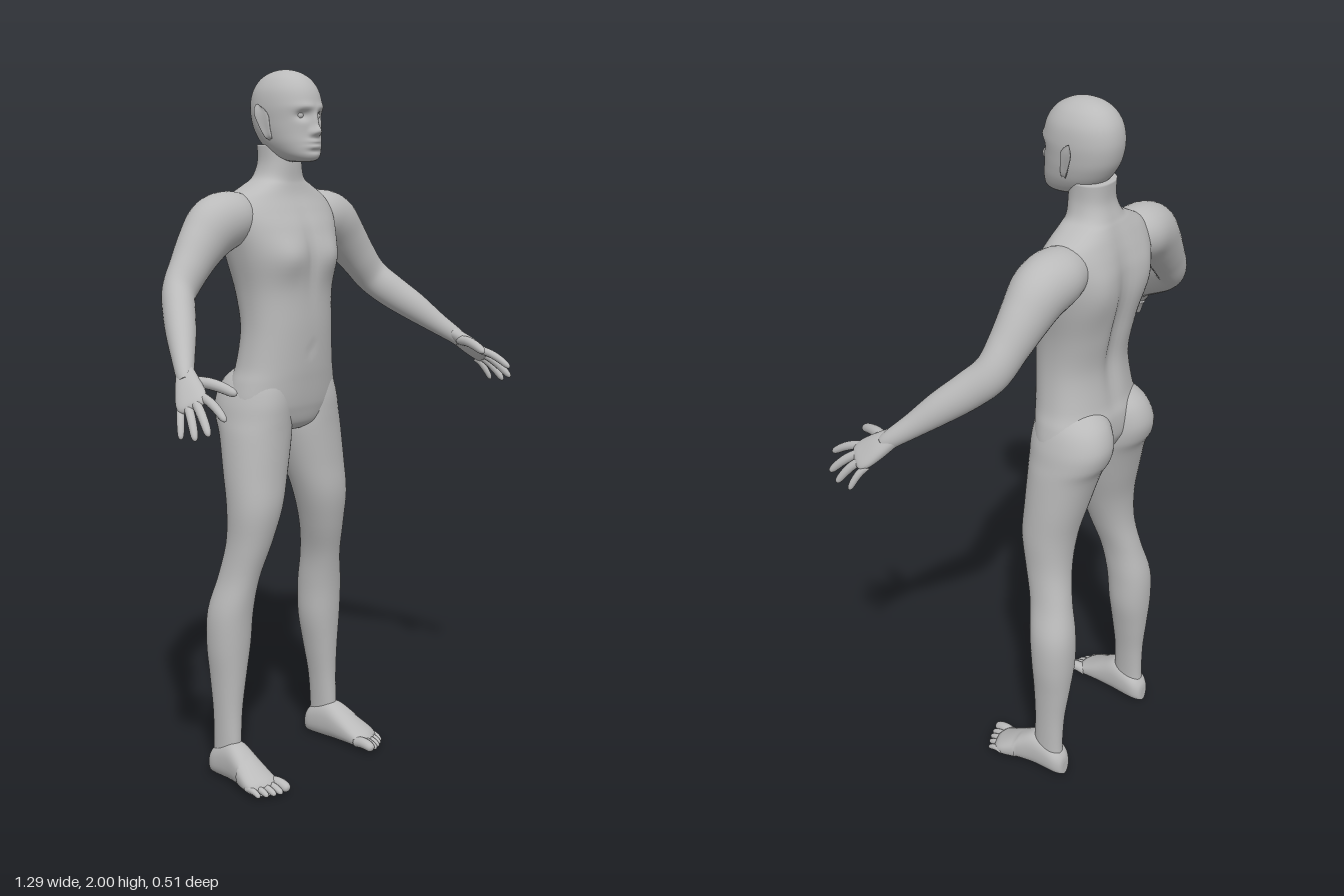
import * as THREE from 'three';

const skin = new THREE.MeshStandardMaterial({ color: 0xbababa });
skin.name = 'plain grey';

const bell = (d, width) => Math.exp(-(d * d) / (width * width));

// Smooth interpolation of rows of numbers
function refine(rows, steps) {
  const out = [];
  const last = rows.length - 1;
  for (let i = 0; i < last; i++) {
    const p0 = rows[Math.max(i - 1, 0)], p1 = rows[i], p2 = rows[i + 1], p3 = rows[Math.min(i + 2, last)];
    for (let k = 0; k < steps; k++) {
      const t = k / steps;
      out.push(p1.map((b, j) => {
        const a = p0[j], c = p2[j], d = p3[j];
        return 0.5 * (2 * b + (c - a) * t + (2 * a - 5 * b + 4 * c - d) * t * t + (3 * b - a - 3 * c + d) * t * t * t);
      }));
    }
  }
  out.push(rows[last]);
  return out;
}

// Closed skin over cross-sections; place(row, c, s, i, all) gives a point of the ring
function loft(name, rows, place, { seg = 32, steps = 5, power = 2, side = 1, warp } = {}) {
  const all = refine(rows, steps), pos = [], idx = [];
  const curve = v => Math.sign(v) * Math.pow(Math.abs(v), 2 / power);
  all.forEach((row, i) => {
    for (let j = 0; j < seg; j++) {
      const a = (j / seg) * Math.PI * 2;
      const p = place(row, curve(Math.cos(a)), curve(Math.sin(a)), i, all);
      if (warp) warp(p);
      pos.push(p.x * side, p.y, p.z);
    }
  });
  const n = all.length;
  for (let i = 0; i < n - 1; i++) for (let j = 0; j < seg; j++) {
    const a = i * seg + j, b = i * seg + (j + 1) % seg;
    idx.push(a, b, a + seg, b, b + seg, a + seg);
  }
  // End caps
  for (const [start, flip] of [[0, false], [(n - 1) * seg, true]]) {
    const c = [0, 0, 0];
    for (let j = 0; j < seg; j++) for (let k = 0; k < 3; k++) c[k] += pos[(start + j) * 3 + k] / seg;
    const centre = pos.length / 3;
    pos.push(...c);
    for (let j = 0; j < seg; j++) {
      const a = start + j, b = start + (j + 1) % seg;
      idx.push(centre, flip ? a : b, flip ? b : a);
    }
  }
  // Turn the faces outward
  let volume = 0;
  const A = new THREE.Vector3(), B = new THREE.Vector3(), C = new THREE.Vector3();
  for (let i = 0; i < idx.length; i += 3) {
    A.fromArray(pos, idx[i] * 3); B.fromArray(pos, idx[i + 1] * 3); C.fromArray(pos, idx[i + 2] * 3);
    volume += A.dot(B.cross(C));
  }
  if (volume < 0) idx.reverse();
  const geo = new THREE.BufferGeometry();
  geo.setAttribute('position', new THREE.Float32BufferAttribute(pos, 3));
  geo.setIndex(idx);
  geo.computeVertexNormals();
  const mesh = new THREE.Mesh(geo, skin);
  mesh.name = name;
  return mesh;
}

// Horizontal slice: [y, x min, x max, z front, z back]
const slice = ([y, x0, x1, zf, zb], c, s) =>
  new THREE.Vector3((x0 + x1) / 2 + c * (x1 - x0) / 2, y, (zf + zb) / 2 + s * (zf - zb) / 2);
const symmetric = rows => rows.map(([y, w, zf, zb]) => [y, -w, w, zf, zb]);

// Ring across a path: [x, y, z, radius across ref, radius along ref]
const across = ref => (row, c, s, i, all) => {
  const p = all[Math.max(i - 1, 0)], q = all[Math.min(i + 1, all.length - 1)];
  const t = new THREE.Vector3(q[0] - p[0], q[1] - p[1], q[2] - p[2]).normalize();
  const u = new THREE.Vector3().crossVectors(ref, t).normalize();
  const v = new THREE.Vector3().crossVectors(t, u);
  return new THREE.Vector3(...row.slice(0, 3)).addScaledVector(u, c * row[3]).addScaledVector(v, s * row[4]);
};
const UP = new THREE.Vector3(0, 1, 0);

// Finger or toe from a to b, bowed upward a little
function digit(name, a, b, r, bow, side) {
  const rows = [[0, 1], [0.35, 1], [0.65, 0.95], [0.88, 0.8], [0.97, 0.5], [1, 0.12]].map(([t, k]) => [
    ...a.map((v, i) => v + (b[i] - v) * t + (i === 1 ? bow * Math.sin(Math.PI * t) : 0)), r * k, r * k]);
  return loft(name, rows, across(UP), { seg: 14, steps: 3, side });
}

function warpTorso(p) {
  const ax = Math.abs(p.x);
  if (p.z > -0.1) {
    p.z += 0.014 * bell(ax - 0.085, 0.05) * bell(p.y - 1.495, 0.05);     // chest muscles
    p.z -= 0.008 * bell(p.x, 0.02) * bell(p.y - 1.5, 0.09);              // breastbone
    p.z -= 0.005 * bell(p.x, 0.012) * bell(p.y - 1.24, 0.012);           // navel
  } else {
    p.z += 0.02 * bell(p.x, 0.03) * bell(p.y - 1.42, 0.2);               // spine
    p.z -= 0.012 * bell(ax - 0.1, 0.05) * bell(p.y - 1.55, 0.08);        // shoulder blades
  }
}

function warpHead(p) {
  if (p.z < -0.06) return;
  const ax = Math.abs(p.x), y = p.y;
  p.z += 0.021 * bell(p.x, 0.013) * bell(y - 1.834, 0.014);              // nose tip
  p.z += 0.011 * bell(p.x, 0.011) * bell(y - 1.86, 0.022);               // nose bridge
  p.z += 0.007 * bell(ax - 0.014, 0.007) * bell(y - 1.83, 0.008);        // nostrils
  p.z -= 0.014 * bell(ax - 0.034, 0.018) * bell(y - 1.876, 0.013);       // eye sockets
  p.z += 0.005 * bell(ax - 0.03, 0.03) * bell(y - 1.898, 0.01);          // brows
  p.z += 0.007 * bell(p.x, 0.024) * (bell(y - 1.807, 0.006) + bell(y - 1.793, 0.006)); // lips
  p.z -= 0.004 * bell(p.x, 0.025) * bell(y - 1.781, 0.006);
}

function createHead() {
  const g = new THREE.Group();
  g.name = 'head';
  g.add(loft('skullAndFace', symmetric([
    [1.752, 0.012, -0.02, -0.06], [1.757, 0.034, 0.002, -0.09], [1.772, 0.053, 0.012, -0.13],
    [1.8, 0.068, 0.011, -0.165], [1.83, 0.076, 0.008, -0.187], [1.86, 0.08, 0.008, -0.2],
    [1.9, 0.082, 0.01, -0.206], [1.94, 0.076, 0.0, -0.199], [1.97, 0.06, -0.021, -0.18],
    [1.988, 0.04, -0.048, -0.155], [1.997, 0.02, -0.075, -0.128], [2.0, 0.004, -0.097, -0.105],
  ]), slice, { seg: 112, steps: 8, power: 2.15, warp: warpHead }));
  for (const side of [1, -1]) {
    const eye = new THREE.Mesh(new THREE.SphereGeometry(0.011, 16, 12), skin);
    eye.name = 'eye';
    eye.position.set(side * 0.033, 1.876, -0.018);
    g.add(eye);
    // Ear: thin dished leaf, drawn out at the top
    g.add(loft('ear', [
      [0.07, 1.81, -0.088, 0.004, 0.002], [0.078, 1.82, -0.092, 0.01, 0.007], [0.084, 1.845, -0.099, 0.015, 0.007],
      [0.089, 1.875, -0.106, 0.02, 0.007], [0.092, 1.892, -0.112, 0.015, 0.005], [0.094, 1.906, -0.118, 0.003, 0.002],
    ], (r, c, s) => new THREE.Vector3(r[0] + s * r[4] - c * r[3] * 0.3 - (s > 0 ? 0.006 * (1 - c * c) : 0), r[1], r[2] + c * r[3]),
    { seg: 20, side }));
  }
  return g;
}

function createArm(side) {
  const g = new THREE.Group();
  g.name = side > 0 ? 'leftArm' : 'rightArm';
  g.add(loft('armLimb', [
    [0.1, 1.6, -0.145, 0.055, 0.055], [0.17, 1.602, -0.145, 0.077, 0.074], [0.235, 1.583, -0.142, 0.074, 0.08],
    [0.29, 1.535, -0.138, 0.062, 0.07], [0.342, 1.477, -0.13, 0.052, 0.058], [0.392, 1.418, -0.116, 0.045, 0.051],
    [0.43, 1.373, -0.075, 0.043, 0.049], [0.475, 1.325, -0.02, 0.039, 0.043], [0.52, 1.275, 0.035, 0.03, 0.032],
    [0.555, 1.238, 0.078, 0.023, 0.025], [0.567, 1.222, 0.093, 0.018, 0.022],
  ], across(UP), { side, steps: 6 }));
  g.add(loft('palm', [
    [0.545, 1.248, 0.068, 0.018, 0.022], [0.57, 1.217, 0.105, 0.02, 0.034], [0.59, 1.191, 0.136, 0.017, 0.041],
    [0.602, 1.176, 0.153, 0.013, 0.037], [0.607, 1.17, 0.16, 0.006, 0.025],
  ], across(new THREE.Vector3(0.55, -0.45, -0.75)), { side, power: 2.3 }));
  const fingers = [
    ['indexFinger', [0.576, 1.198, 0.158], [0.592, 1.15, 0.257], 0.0115],
    ['middleFinger', [0.592, 1.187, 0.152], [0.627, 1.116, 0.236], 0.012],
    ['ringFinger', [0.604, 1.175, 0.14], [0.639, 1.102, 0.202], 0.0115],
    ['littleFinger', [0.61, 1.165, 0.12], [0.642, 1.1, 0.155], 0.0098],
    ['thumb', [0.553, 1.225, 0.1], [0.514, 1.2, 0.217], 0.0145],
  ];
  for (const [name, a, b, r] of fingers) g.add(digit(name, a, b, r, 0.008, side));
  return g;
}

function createLeg(side) {
  const g = new THREE.Group();
  g.name = side > 0 ? 'leftLeg' : 'rightLeg';
  g.add(loft('legLimb', [
    [1.2, 0.02, 0.125, -0.05, -0.185], [1.155, 0.006, 0.165, -0.03, -0.235], [1.1, 0.002, 0.187, -0.022, -0.256],
    [1.05, 0.001, 0.197, -0.022, -0.248], [1.0, 0.004, 0.205, -0.023, -0.222], [0.9, 0.028, 0.213, -0.022, -0.195],
    [0.8, 0.058, 0.216, -0.02, -0.173], [0.7, 0.09, 0.215, -0.038, -0.17], [0.6, 0.118, 0.226, -0.064, -0.188],
    [0.5, 0.126, 0.252, -0.08, -0.21], [0.4, 0.131, 0.255, -0.088, -0.212], [0.3, 0.15, 0.246, -0.095, -0.203],
    [0.2, 0.168, 0.24, -0.1, -0.192], [0.1, 0.178, 0.238, -0.098, -0.19], [0.05, 0.178, 0.238, -0.1, -0.194],
  ], slice, { seg: 40, side, power: 2.15 }));
  // Foot slices from heel to ball: [z, x centre, half width, top]
  g.add(loft('foot', [
    [-0.205, 0.207, 0.012, 0.045], [-0.2, 0.207, 0.024, 0.065], [-0.18, 0.207, 0.036, 0.088], [-0.14, 0.208, 0.04, 0.11],
    [-0.1, 0.211, 0.042, 0.115], [-0.05, 0.217, 0.046, 0.088], [0, 0.224, 0.051, 0.058],
    [0.025, 0.224, 0.049, 0.043], [0.038, 0.222, 0.042, 0.03],
  ], ([z, x, w, top], c, s) => new THREE.Vector3(x + w * c, top / 2 * (1 + s), z - (c > 0 ? 0.015 * c : 0) * (z > -0.05 ? 1 : 0)),
  { side, power: 2.4 }));
  for (let i = 0; i < 5; i++) {
    const x = 0.187 + i * 0.0195 + (i ? 0.003 : 0), r = i ? 0.0115 - i * 0.0006 : 0.0165;
    g.add(digit('toe', [x, 0.022, 0.01 - i * 0.005], [x - 0.002, r, 0.077 - i * i * 0.0015 - i * 0.003], r, 0.006, side));
  }
  return g;
}

export function createModel() {
  const model = new THREE.Group();
  model.name = 'standingFigure';
  model.add(loft('torsoAndNeck', symmetric([
    [1.01, 0.04, -0.06, -0.14], [1.03, 0.12, -0.035, -0.185], [1.07, 0.174, -0.022, -0.212],
    [1.1, 0.182, -0.016, -0.222], [1.15, 0.172, -0.01, -0.222], [1.2, 0.157, -0.005, -0.21],
    [1.3, 0.145, 0, -0.2], [1.4, 0.15, 0, -0.218], [1.5, 0.172, 0.005, -0.238], [1.57, 0.187, -0.012, -0.238],
    [1.62, 0.19, -0.036, -0.228], [1.66, 0.165, -0.056, -0.215], [1.69, 0.112, -0.065, -0.203],
    [1.71, 0.077, -0.068, -0.194], [1.75, 0.062, -0.068, -0.181], [1.8, 0.061, -0.07, -0.181],
  ]), slice, { seg: 80, steps: 6, power: 2.3, warp: warpTorso }));
  model.add(createHead());
  for (const side of [1, -1]) model.add(createArm(side), createLeg(side));
  return model;
}
